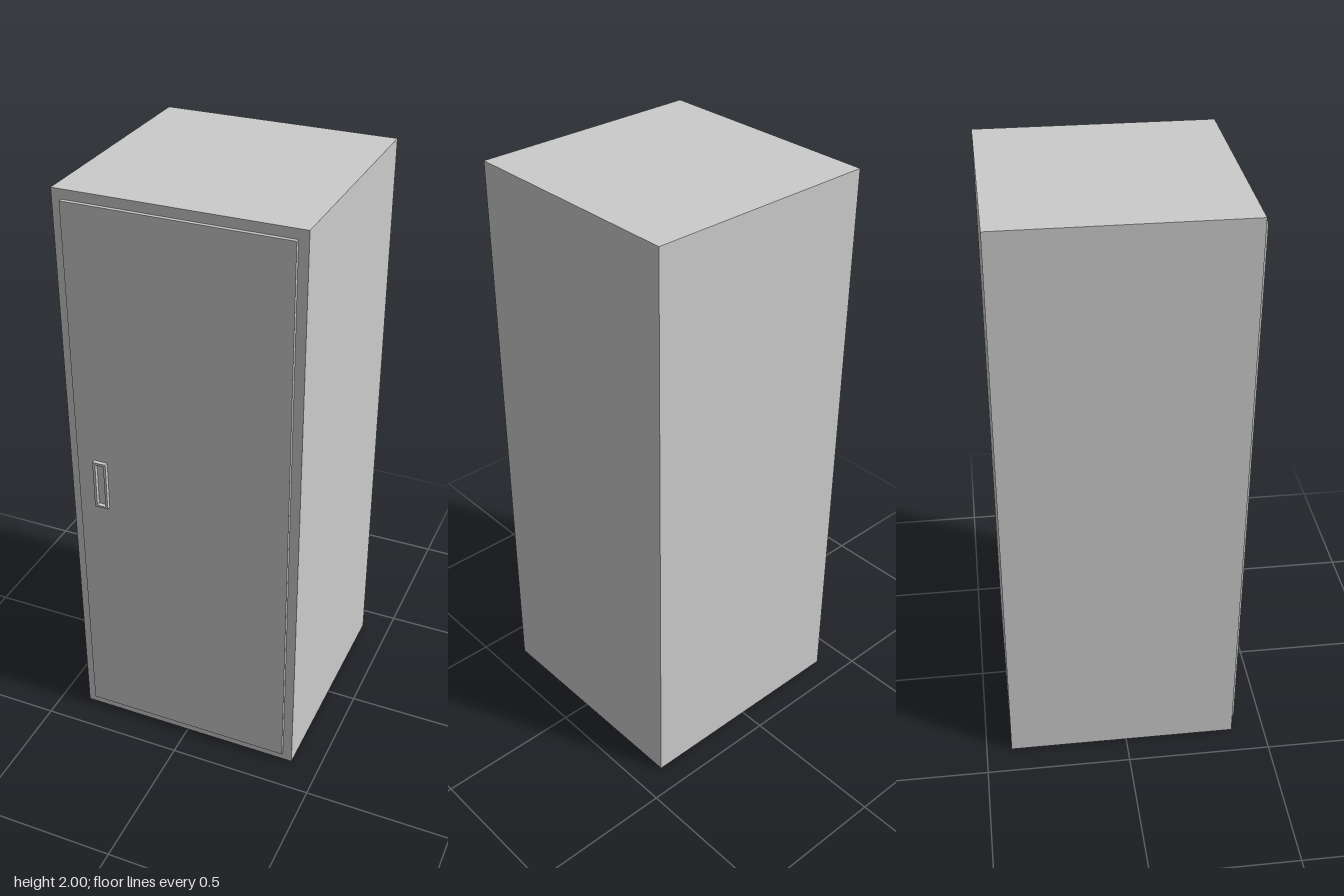
import * as THREE from 'three';

const material = new THREE.MeshStandardMaterial({ color: 0xcccccc, flatShading: true });

// Box given by its extents on each axis
function box(name, [x0, x1], [y0, y1], [z0, z1]) {
  const mesh = new THREE.Mesh(new THREE.BoxGeometry(x1 - x0, y1 - y0, z1 - z0), material);
  mesh.position.set((x0 + x1) / 2, (y0 + y1) / 2, (z0 + z1) / 2);
  mesh.name = name;
  return mesh;
}

// Corner points of an upright rectangle
function rectangle(x0, x1, y0, y1) {
  return [[x0, y0], [x1, y0], [x1, y1], [x0, y1]].map(([x, y]) => new THREE.Vector2(x, y));
}

export function createModel() {
  const group = new THREE.Group();
  group.name = 'cabinet';

  // Plain tall body with a slightly raised door
  const front = 0.385, doorFront = 0.398;
  group.add(box('body', [-0.4, 0.4], [0, 2], [-0.412, front]));
  group.add(box('door', [-0.368, 0.368], [0.034, 1.968], [front, doorFront]));

  // Recessed pull: a thin rim standing on the door, open in the middle
  const rim = new THREE.Shape(rectangle(-0.307, -0.26, 0.915, 1.088));
  rim.holes.push(new THREE.Path(rectangle(-0.298, -0.268, 0.922, 1.08).reverse()));
  const handle = new THREE.Mesh(
    new THREE.ExtrudeGeometry(rim, { depth: 0.014, bevelEnabled: false }), material);
  handle.position.z = doorFront;
  handle.name = 'handle';
  group.add(handle);

  return group;
}
